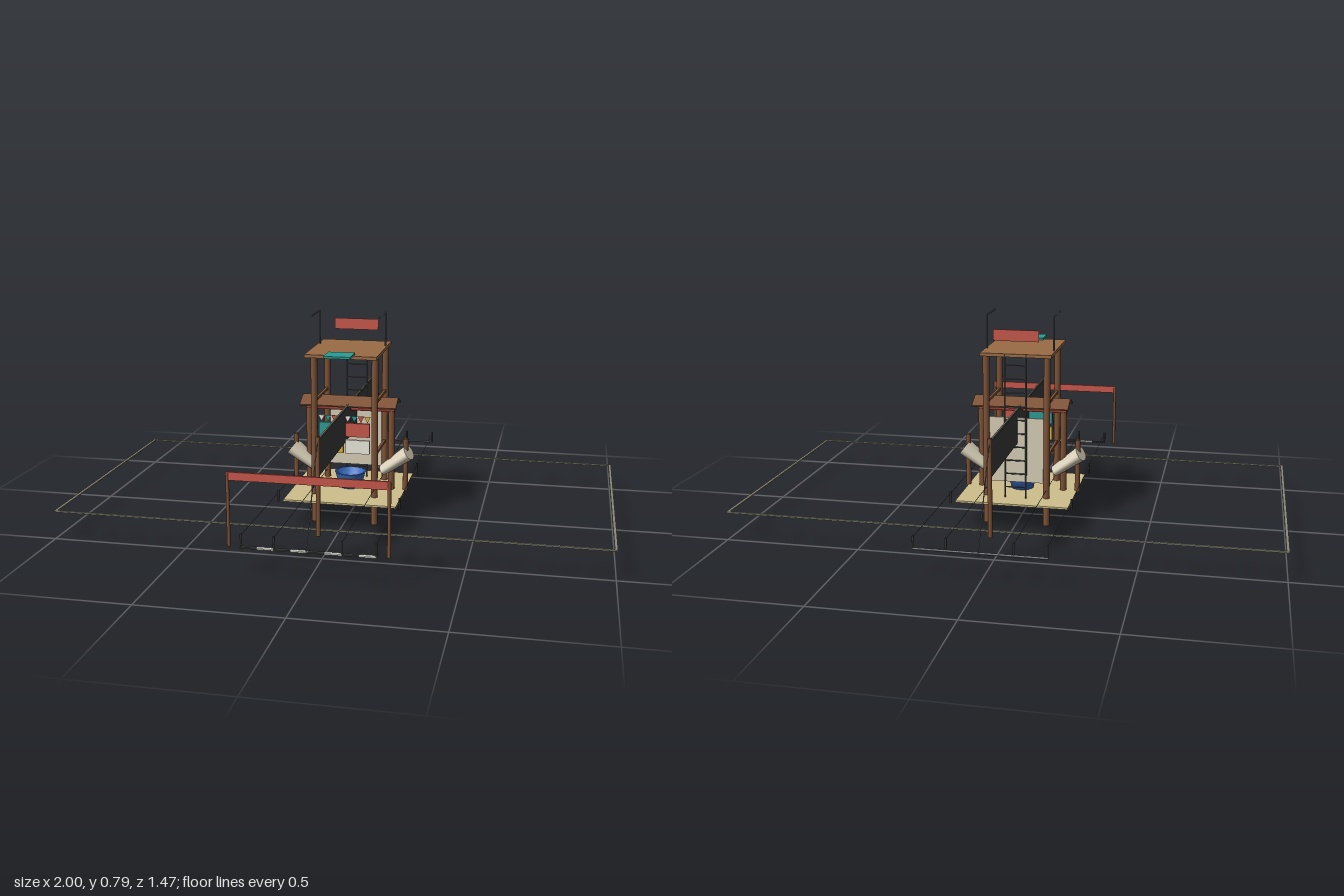
import * as THREE from 'three';

const mat = (color) => new THREE.MeshStandardMaterial({ color });
const WOOD = mat(0x7d5236), ROOF = mat(0x9a6b45), DARK = mat(0x3a3a3c), STEEL = mat(0x55585c);
const RED = mat(0xc9574a), TEAL = mat(0x2a9d94), BLUE = mat(0x3a70c4), YELLOW = mat(0xe0b63a);
const WHITE = mat(0xeeeae0), CREAM = mat(0xd8cfb8), MAT = mat(0xcfbf8c), CORD = mat(0x8c8a78);
const GROUND = 0.105;

export function createModel() {
  const model = new THREE.Group();

  const add = (name, geometry, material, x = 0, y = 0, z = 0) => {
    const mesh = new THREE.Mesh(geometry, material);
    mesh.name = name;
    mesh.position.set(x, y, z);
    model.add(mesh);
    return mesh;
  };
  // Box given by its size and centre
  const box = (name, material, w, h, d, x, y, z) =>
    add(name, new THREE.BoxGeometry(w, h, d), material, x, y, z);
  // Round rod between two points
  const rod = (name, material, r, a, b, sides = 8) => {
    const start = new THREE.Vector3(...a), end = new THREE.Vector3(...b);
    const dir = end.clone().sub(start);
    const mesh = add(name, new THREE.CylinderGeometry(r, r, dir.length(), sides), material);
    mesh.position.copy(start).add(end).multiplyScalar(0.5);
    mesh.quaternion.setFromUnitVectors(new THREE.Vector3(0, 1, 0), dir.normalize());
    return mesh;
  };
  const sides = [-1, 1];

  // Field boundary and floor mat
  for (const s of sides) {
    box('boundaryLong', CORD, 2, 0.005, 0.01, 0, GROUND, s * 0.495);
    box('boundaryShort', CORD, 0.01, 0.005, 0.98, s * 0.995, GROUND, 0);
  }
  box('floorMat', MAT, 0.428, 0.007, 0.428, 0, GROUND, 0);

  // Tower posts, side rails and roof deck
  for (const sx of sides) {
    for (const sz of sides)
      rod('towerPost', WOOD, 0.0125, [sx * 0.115, 0, sz * 0.114], [sx * 0.115, 0.65, sz * 0.114], 16);
    for (const y of [0.27, 0.47])
      box('sideRail', WOOD, 0.01, 0.01, 0.22, sx * 0.115, y, 0);
  }
  box('roofDeck', ROOF, 0.268, 0.012, 0.325, 0, 0.654, 0.0275);
  box('frontLedge', TEAL, 0.098, 0.008, 0.09, 0, 0.664, 0.205);
  box('roofSign', RED, 0.17, 0.042, 0.004, 0, 0.726, -0.12);

  // Bent roof arms
  for (const s of sides) {
    rod('armUpright', STEEL, 0.003, [s * 0.127, 0.65, -0.04], [s * 0.127, 0.789, -0.04]);
    rod('armTop', STEEL, 0.003, [s * 0.127, 0.787, -0.043], [s * 0.127, 0.787, 0.1]);
  }

  // Ladder on the back
  for (const s of sides)
    rod('ladderRail', STEEL, 0.003, [s * 0.04, GROUND, -0.133], [s * 0.04, 0.66, -0.133]);
  for (let i = 0; i < 10; i++)
    rod('ladderRung', STEEL, 0.0025, [-0.04, 0.15 + i * 0.052, -0.133], [0.04, 0.15 + i * 0.052, -0.133], 6);

  // Back board, coloured front panels and pennants
  box('backBoard', CREAM, 0.205, 0.25, 0.006, 0, 0.29, -0.112);
  const panels = [[-1, 0.3, YELLOW], [1, 0.3, WHITE], [-1, 0.365, TEAL], [1, 0.365, RED]];
  for (const [s, y, m] of panels)
    box('frontPanel', m, 0.092, 0.052, 0.012, s * 0.05, y, 0.112);
  const flag = new THREE.Shape([[-0.012, 0], [0, -0.024], [0.012, 0]].map((p) => new THREE.Vector2(...p)));
  const flagGeometry = new THREE.ExtrudeGeometry(flag, { depth: 0.003, bevelEnabled: false });
  for (let i = 0; i < 8; i++)
    add('pennant', flagGeometry, [WHITE, TEAL, RED, YELLOW][i % 4], -0.0875 + i * 0.025, 0.418, 0.112);

  // Small gable beam with its red bar and supports
  for (const s of sides) {
    const slope = box('gablePlate', WOOD, 0.37, 0.006, 0.068, 0, 0.453, s * 0.031);
    slope.rotation.x = s * 0.42;
    rod('gablePost', WOOD, 0.013, [s * 0.16, GROUND, 0], [s * 0.16, 0.42, 0], 12);
  }
  rod('redBar', RED, 0.015, [-0.172, 0.427, 0], [0.172, 0.427, 0], 16);

  // Tilted side scoops, each on a short post
  for (const s of sides) {
    const scoop = add('sideScoop', new THREE.CylinderGeometry(0.057, 0.04, 0.125, 32), CREAM, s * 0.178, 0.22, 0);
    scoop.scale.x = 0.5;
    scoop.rotation.z = -s * 0.93;
    rod('scoopPost', WOOD, 0.01, [s * 0.215, GROUND, 0], [s * 0.215, 0.31, 0], 12);
  }

  // Blue tub with a stepped foot
  const tub = [[0, 0.11], [0.043, 0.11], [0.058, 0.167], [0.061, 0.17], [0.053, 0.17], [0.04, 0.118], [0, 0.118]];
  add('tub', new THREE.LatheGeometry(tub.map((p) => new THREE.Vector2(...p)), 32), BLUE);
  add('tubFoot', new THREE.CylinderGeometry(0.06, 0.055, 0.012, 32), MAT, 0, 0.1, 0);
  add('footRing', new THREE.TorusGeometry(0.032, 0.005, 8, 32), STEEL, 0, 0.094, 0).rotation.x = Math.PI / 2;

  // Long net, its poles and guy lines
  box('net', DARK, 0.008, 0.125, 1.1, 0, 0.379, 0);
  rod('netCord', CORD, 0.003, [0, 0.446, -0.555], [0, 0.446, 0.555]);
  for (const s of sides) {
    rod('netPole', WOOD, 0.008, [0, GROUND, s * 0.554], [0, 0.455, s * 0.554], 12);
    rod('guyLine', STEEL, 0.002, [0, 0.445, s * 0.558], [0, GROUND, s * 0.735], 6);
  }

  // Lane wires with pegs
  for (const x of [-0.228, -0.115, 0.115, 0.228]) {
    for (const s of sides) {
      rod('laneWire', STEEL, 0.0012, [x, 0.138, 0], [x, 0.146, s * 0.71], 5);
      rod('lanePeg', DARK, 0.004, [x, GROUND, s * 0.708], [x, 0.15, s * 0.708]);
      if (Math.abs(x) > 0.2)
        rod('middlePeg', DARK, 0.004, [x, GROUND, s * 0.227], [x, 0.148, s * 0.227]);
    }
  }
  rod('backGroundLine', STEEL, 0.004, [-0.23, GROUND, -0.71], [0.23, GROUND, -0.71]);

  // Banner gate and striped start line
  for (const s of sides)
    rod('gatePost', WOOD, 0.006, [s * 0.27, GROUND, 0.707], [s * 0.27, 0.36, 0.707], 12);
  box('gateBanner', RED, 0.546, 0.028, 0.008, 0, 0.349, 0.707);
  for (let i = 0; i < 8; i++)
    box('startStripe', i % 2 ? WHITE : DARK, 0.0575, 0.005, 0.014, -0.20125 + i * 0.0575, GROUND, 0.71);

  return model;
}
